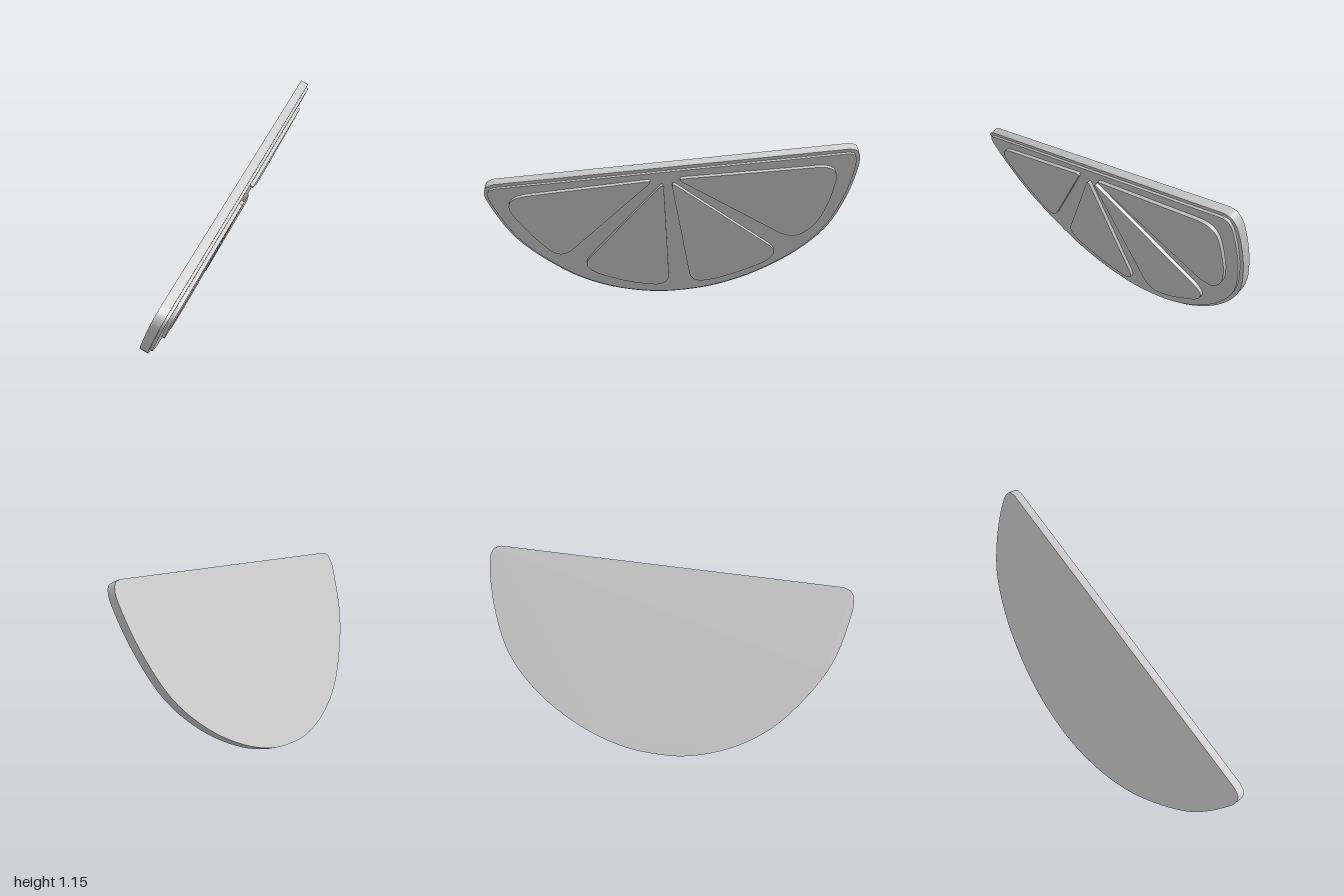
import * as THREE from 'three';
import { toCreasedNormals } from 'three/addons/utils/BufferGeometryUtils.js';

const material = new THREE.MeshStandardMaterial({ color: 0xcccccc });

// Flat layer: an outline pushed out along +z, starting at height z
function layer(name, points, z, depth) {
  const shape = new THREE.Shape(points);
  const flat = new THREE.ExtrudeGeometry(shape, { depth, bevelEnabled: false });
  const mesh = new THREE.Mesh(toCreasedNormals(flat, 0.6), material);
  mesh.name = name;
  mesh.position.z = z;
  return mesh;
}

// Polygon with rounded corners; each corner is [x, y, rounding length]
function rounded(corners) {
  const path = new THREE.Path();
  const n = corners.length;
  const at = (i) => new THREE.Vector2(corners[(i + n) % n][0], corners[(i + n) % n][1]);
  for (let i = 0; i < n; i++) {
    const p = at(i);
    const toward = (q) => {
      const d = q.clone().sub(p);
      return p.clone().addScaledVector(d, Math.min(corners[i][2] / d.length(), 0.48));
    };
    const a = toward(at(i - 1));
    const b = toward(at(i + 1));
    if (i === 0) path.moveTo(a.x, a.y);
    else path.lineTo(a.x, a.y);
    path.quadraticCurveTo(p.x, p.y, b.x, b.y);
  }
  path.closePath();
  const points = path.getPoints(8);
  points.pop();
  return points;
}

// Half-round outline, counter-clockwise: curved rind, then the straight cut on top
function sliceOutline() {
  const rind = [
    [-0.918, 0.973], [-0.965, 0.955], [-0.989, 0.905], [-0.978, 0.794], [-0.902, 0.52],
    [-0.736, 0.259], [-0.563, 0.08], [-0.35, -0.047], [-0.106, -0.117], [0.1, -0.122],
    [0.272, -0.099], [0.507, -0.018], [0.77, 0.14], [0.975, 0.35], [1.1, 0.62],
    [1.157, 0.86], [1.157, 0.92], [1.14, 0.957], [1.101, 0.973],
  ].map(([x, y]) => new THREE.Vector3(x, y, 0));
  return new THREE.CatmullRomCurve3(rind).getPoints(90).map((p) => new THREE.Vector2(p.x, p.y));
}

// Move every outline point inward by a distance
function inset(points, distance) {
  const n = points.length;
  return points.map((p, i) => {
    const t = points[(i + 1) % n].clone().sub(points[(i + n - 1) % n]).normalize();
    return new THREE.Vector2(p.x - t.y * distance, p.y + t.x * distance);
  });
}

export function createModel() {
  const model = new THREE.Group();
  model.name = 'citrusSlice';

  const slice = new THREE.Group();
  slice.name = 'slice';
  const outline = sliceOutline();

  // Rind slab with a thin, slightly smaller pith layer on its front
  slice.add(layer('rind', outline, 0, 0.05));
  slice.add(layer('pith', inset(outline, 0.022), 0.049, 0.016));

  // Four raised segments fanning out from the middle of the cut
  const segments = [
    [[-0.006, 0.911, 0.04], [-0.895, 0.886, 0.17], [-0.82, 0.62, 0.12], [-0.665, 0.32, 0.13]],
    [[0.051, 0.885, 0.045], [-0.53, 0.262, 0.08], [-0.48, 0.165, 0.09], [-0.25, 0.03, 0.12], [-0.025, -0.025, 0.12]],
    [[0.095, 0.885, 0.045], [0.118, -0.01, 0.1], [0.3, 0.0, 0.14], [0.615, 0.125, 0.1], [0.675, 0.225, 0.08]],
    [[0.13, 0.905, 0.04], [0.765, 0.315, 0.12], [0.9, 0.4, 0.1], [0.985, 0.58, 0.12], [1.05, 0.888, 0.13]],
  ];
  // The first two run from the tip counter-clockwise as well
  segments.forEach((corners, i) => {
    slice.add(layer(`segment${i + 1}`, rounded(corners), 0.064, 0.021));
  });

  // Lean the slice: its cut edge, its upward axis and its front normal
  const along = new THREE.Vector3(0.921, 0.1145, -0.372).normalize();
  const front = new THREE.Vector3(0.386, -0.395, 0.834);
  front.addScaledVector(along, -front.dot(along)).normalize();
  const up = new THREE.Vector3().crossVectors(front, along);
  slice.quaternion.setFromRotationMatrix(new THREE.Matrix4().makeBasis(along, up, front));
  slice.position.copy(front).multiplyScalar(-0.35);
  model.add(slice);

  // Centre on x and z and stand on the ground
  model.updateMatrixWorld(true);
  const box = new THREE.Box3().setFromObject(model, true);
  const centre = box.getCenter(new THREE.Vector3());
  slice.position.sub(new THREE.Vector3(centre.x, box.min.y, centre.z));
  return model;
}
